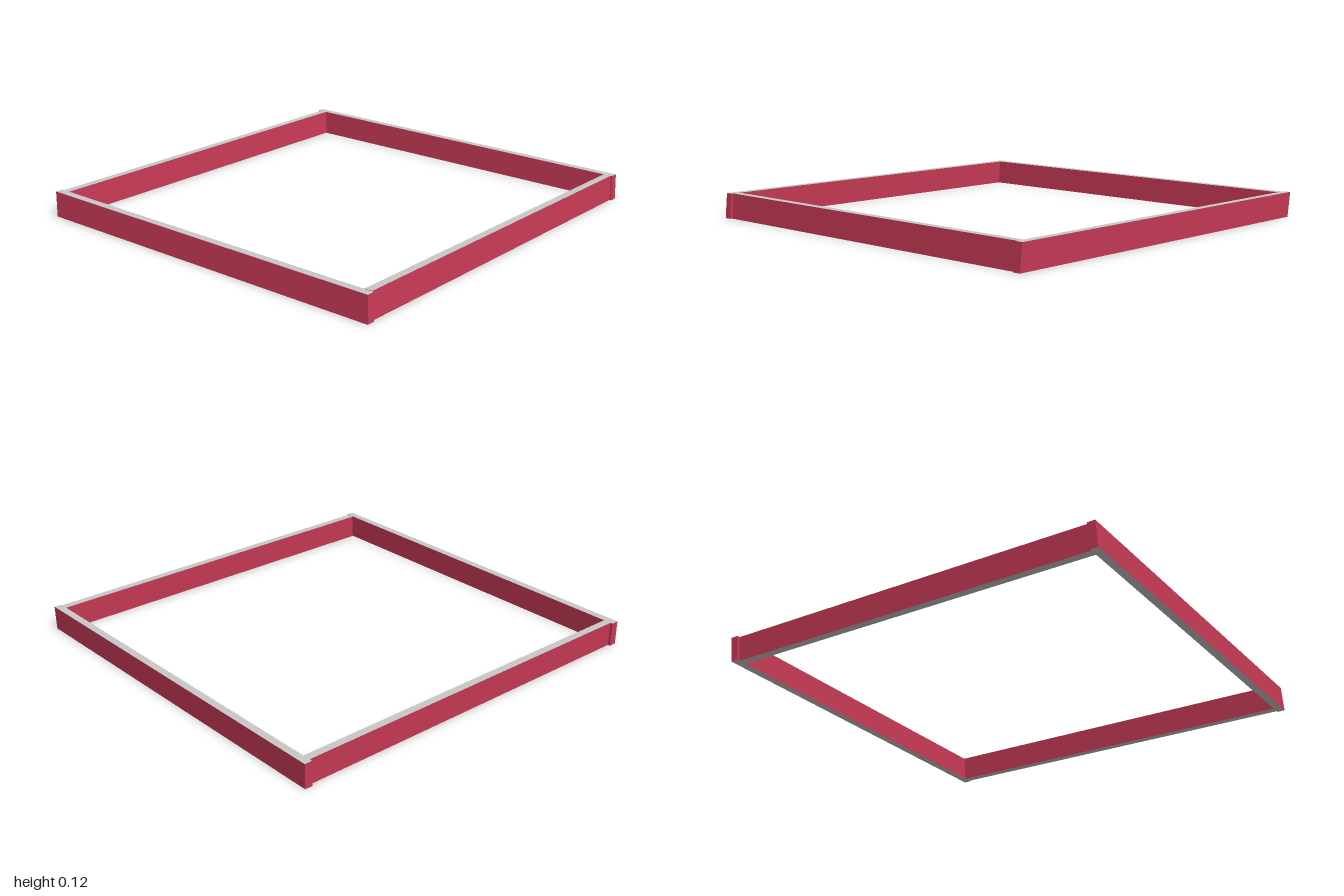
import * as THREE from 'three';

const HEIGHT = 0.125;
const LEAN = 0.007; // sideways drift of the base relative to the top

export function createModel() {
  const red = new THREE.MeshStandardMaterial({ color: 0xc83a55 });
  red.name = 'crimson sides';
  const grey = new THREE.MeshStandardMaterial({ color: 0xc8c8c8 });
  grey.name = 'light grey edges';
  // Box face order: +x, -x, top, bottom, +z, -z
  const materials = [red, red, grey, grey, red, red];
  const group = new THREE.Group();
  group.name = 'rectangularFrame';

  // A rail given by its top outline, with its base shifted slightly to +x and +z;
  // skew turns a rail very slightly along its length.
  function rail(name, x0, x1, z0, z1, skew = 0) {
    const geometry = new THREE.BoxGeometry(x1 - x0, HEIGHT, z1 - z0);
    geometry.translate((x0 + x1) / 2, HEIGHT / 2, (z0 + z1) / 2);
    const p = geometry.attributes.position;
    for (let i = 0; i < p.count; i++) {
      const shift = p.getY(i) < HEIGHT / 2 ? LEAN : 0;
      const x = p.getX(i);
      p.setXYZ(i, x + shift, p.getY(i), p.getZ(i) + shift + skew * x);
    }
    geometry.computeVertexNormals();
    const mesh = new THREE.Mesh(geometry, materials);
    mesh.name = name;
    group.add(mesh);
  }

  // Long front and back rails overlap the ends of the side rails
  rail('backRail', -0.98, 0.968, -1, -0.962);
  rail('frontRail', -0.977, 0.97, 0.949, 0.988, 0.003);
  rail('rightRail', -0.965, -0.926, -0.962, 0.949);
  rail('leftRail', 0.92, 0.959, -0.962, 0.949);
  return group;
}
